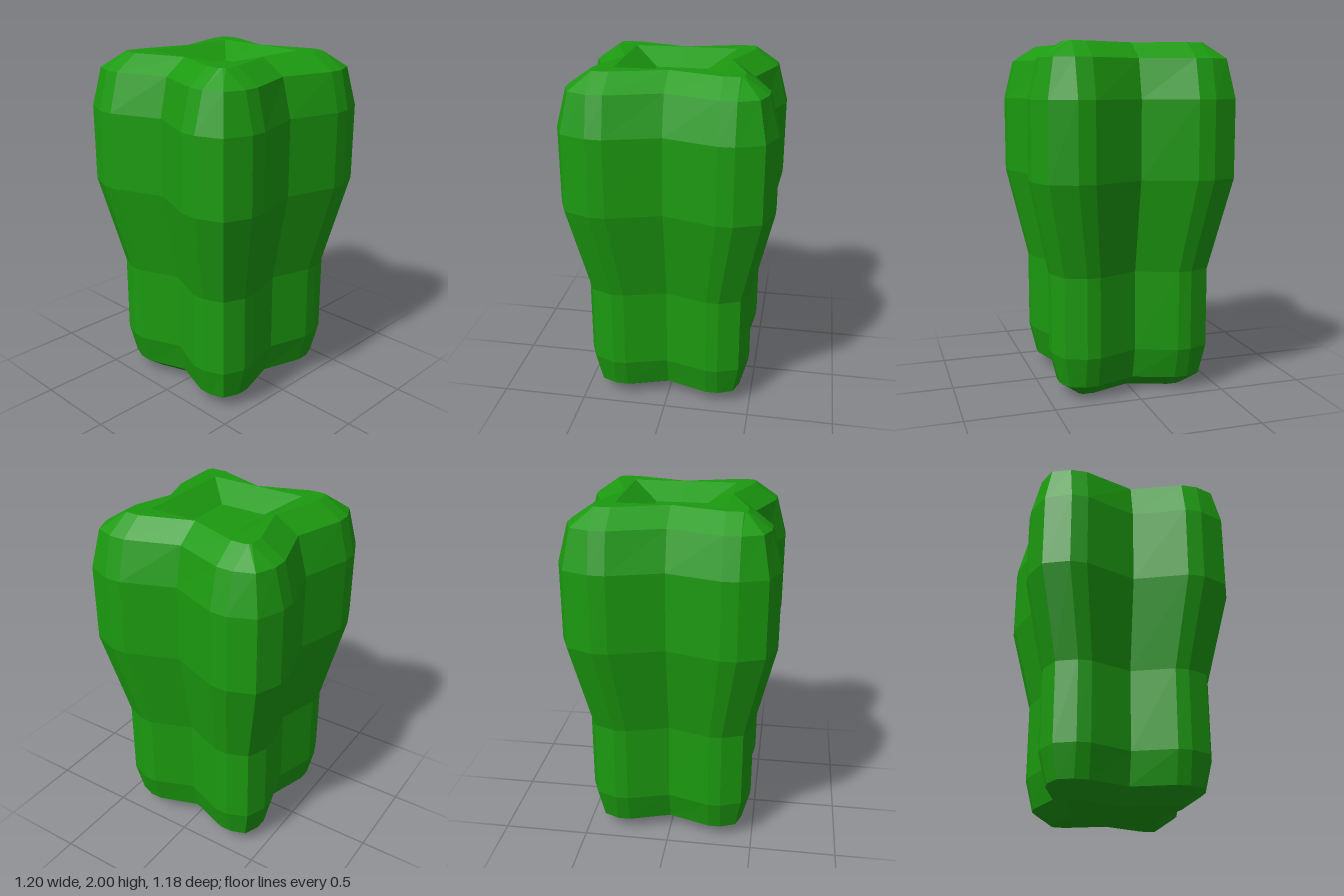
import * as THREE from 'three';

// One quarter of each cross-section, [x, z], from the +x groove to the +z groove.
const BODY = [[0.485, 0], [0.6, 0.29], [0.6, 0.385], [0.54, 0.53], [0.39, 0.59], [0.3, 0.59], [0, 0.5]];
const SHOULDER = [[0.435, 0], [0.54, 0.29], [0.54, 0.385], [0.5, 0.49], [0.39, 0.535], [0.3, 0.535], [0, 0.44]];
const CROWN = [[0.305, 0], [0.41, 0.29], [0.41, 0.37], [0.4, 0.385], [0.39, 0.395], [0.3, 0.395], [0, 0.3]];

// Rectangular section with the same point count, for the dimple.
const rectangle = (x, z) => CROWN.map((_, i) => (i === 0 ? [x, 0] : i === 6 ? [0, z] : [x, z]));

// Mirror a quarter into a full ring at height y.
function ring(quarter, y, scale = 1) {
  const q = quarter.map(([x, z]) => [x * scale, z * scale]);
  const back = [...q].reverse();
  const loop = [
    ...q.slice(0, -1),
    ...back.slice(0, -1).map(([x, z]) => [-x, z]),
    ...q.slice(0, -1).map(([x, z]) => [-x, -z]),
    ...back.slice(0, -1).map(([x, z]) => [x, -z]),
  ];
  return loop.map(([x, z]) => new THREE.Vector3(x, y, z));
}

// Join rings into flat facets, dropping collapsed triangles.
function loft(rings) {
  const points = [];
  const add = (a, b, c) => {
    if (new THREE.Triangle(a, b, c).getArea() > 1e-6) points.push(a, b, c);
  };
  for (let i = 0; i < rings.length - 1; i++) {
    const low = rings[i], high = rings[i + 1];
    low.forEach((a, j) => {
      const k = (j + 1) % low.length;
      add(a, high[j], low[k]);
      add(low[k], high[j], high[k]);
    });
  }
  const geometry = new THREE.BufferGeometry().setFromPoints(points);
  geometry.computeVertexNormals();
  return geometry;
}

export function createModel() {
  const group = new THREE.Group();
  group.name = 'pepper';
  const green = new THREE.MeshStandardMaterial({ color: 0x1c9a10, flatShading: true });

  // Narrow base, flared four-lobed body, rounded shoulders
  const body = new THREE.Mesh(loft([
    ring(CROWN, 0, 0),
    ring(CROWN, 0, 0.79),
    ring(SHOULDER, 0.08, 0.8),
    ring(BODY, 0.26, 0.8),
    ring(BODY, 0.72, 0.8),
    ring(BODY, 1.25),
    ring(BODY, 1.69),
    ring(SHOULDER, 1.91),
    ring(CROWN, 2),
    ring(rectangle(0.3, 0.29), 2),
  ]), green);
  body.name = 'lobedBody';

  // Sunken dimple in the top
  const dimple = new THREE.Mesh(loft([
    ring(rectangle(0.3, 0.29), 2),
    ring(rectangle(0.15, 0.14), 1.91),
    ring(rectangle(0, 0), 1.91),
  ]), green);
  dimple.name = 'topDimple';

  group.add(body, dimple);
  return group;
}
